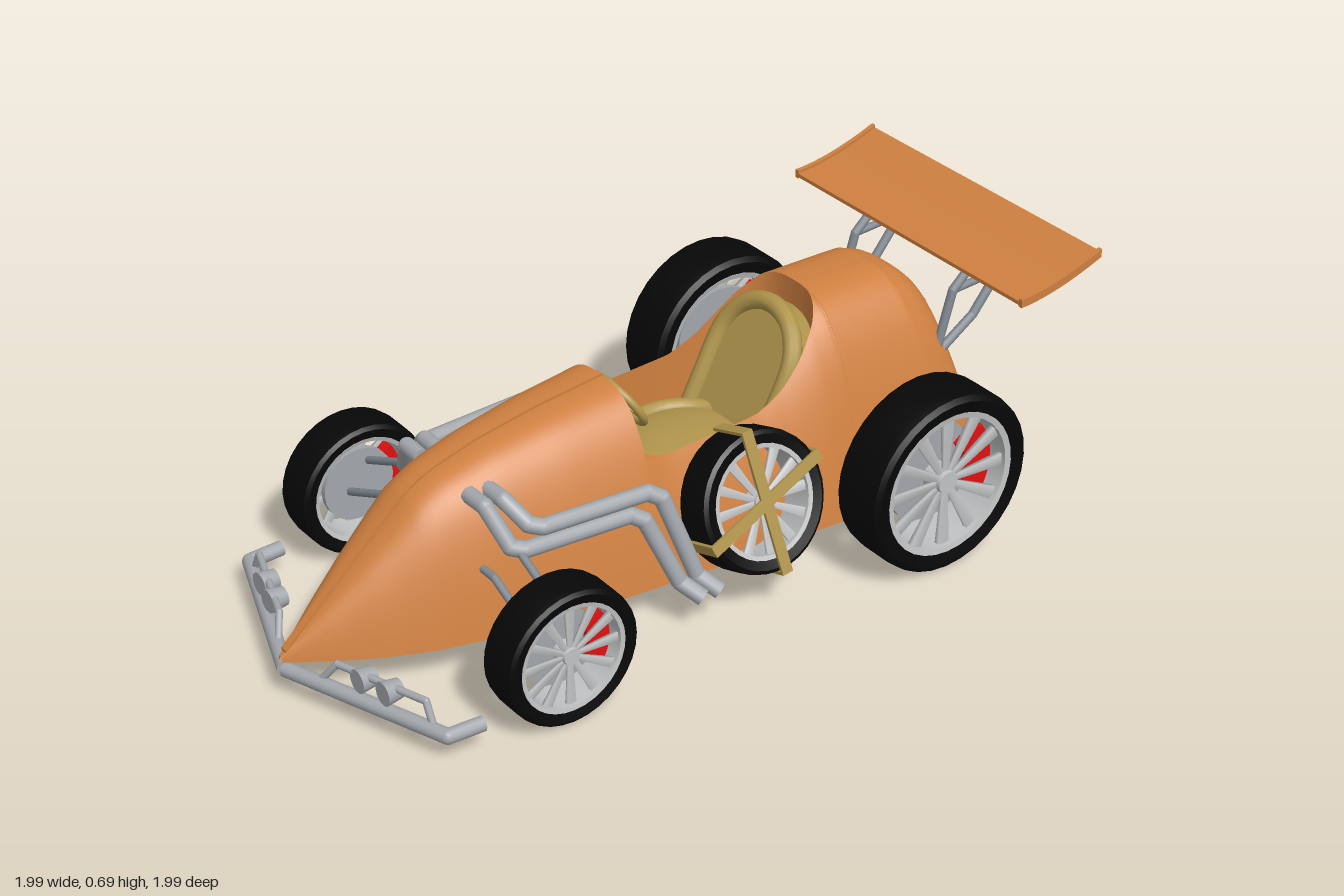
import * as THREE from 'three';
import { toCreasedNormals } from 'three/addons/utils/BufferGeometryUtils.js';

const paint = (name, color, side = THREE.FrontSide) => {
  const m = new THREE.MeshStandardMaterial({ color, side });
  m.name = name;
  return m;
};
const orange = paint('orange paint', 0xcf8040, THREE.DoubleSide);
const black = paint('tyre rubber', 0x070707);
const silver = paint('rim silver', 0xc2c3c4);
const steel = paint('pipe steel', 0xa3a7ac);
const grey = paint('strut grey', 0x808890);
const gold = paint('seat gold', 0xb0954c);
const red = paint('caliper red', 0xe01010);

const V = (x, y, z) => new THREE.Vector3(x, y, z);
function add(parent, name, geo, mat, pos = [0, 0, 0], rot = [0, 0, 0]) {
  const m = new THREE.Mesh(geo, mat);
  m.name = name;
  m.position.set(...pos);
  m.rotation.set(...rot);
  parent.add(m);
  return m;
}
function group(parent, name, pos = [0, 0, 0], rot = [0, 0, 0]) {
  const g = new THREE.Group();
  g.name = name;
  g.position.set(...pos);
  g.rotation.set(...rot);
  parent.add(g);
  return g;
}
// Round bar through points, with ball joints at the corners
function pipe(parent, name, pts, r, mat) {
  const g = group(parent, name);
  pts.forEach((p, i) => {
    if (i && i < pts.length - 1) add(g, name + 'Joint', new THREE.SphereGeometry(r, 12, 8), mat, p);
    if (!i) return;
    const a = V(...pts[i - 1]), b = V(...p);
    const c = add(g, name + 'Bar', new THREE.CylinderGeometry(r, r, a.distanceTo(b), 12), mat);
    c.position.copy(a).lerp(b, 0.5);
    c.quaternion.setFromUnitVectors(V(0, 1, 0), b.sub(a).normalize());
  });
}
const lookup = (table, z) => {
  const i = Math.max(1, table.findIndex(([k]) => k <= z + 1e-6));
  const [z0, a] = table[i - 1], [z1, b] = table[i];
  return a + (b - a) * THREE.MathUtils.clamp((z - z0) / (z1 - z0), 0, 1);
};

// Body rules: half width, crest height and cockpit opening along the length
const BASE = 0.09;
const WIDTH = [[1.11, 0.008], [1.0, 0.08], [0.9, 0.135], [0.8, 0.177], [0.65, 0.218], [0.4, 0.252],
  [0.1, 0.28], [-0.3, 0.3], [-0.68, 0.3], [-0.73, 0.295], [-0.765, 0.283], [-0.785, 0.265], [-0.795, 0.245]];
const CREST = [[1.11, 0.105], [0.76, 0.42], [0.7, 0.452], [0.57, 0.49], [0.4, 0.52], [0.21, 0.542], [0.18, 0.515],
  [0.14, 0.495], [-0.12, 0.495], [-0.2, 0.525], [-0.3, 0.588], [-0.36, 0.608], [-0.66, 0.606], [-0.74, 0.59],
  [-0.775, 0.57], [-0.795, 0.545]];
const opening = (z) => (z > -0.05 ? 0.18 : 0.18 * Math.cbrt(Math.max(0, 1 - ((-z - 0.05) / 0.32) ** 3)));
function bodyPoint(z, t) {
  const y = BASE + (lookup(CREST, z) - BASE) * (1 - t ** 3);
  const lean = THREE.MathUtils.smoothstep(-z, 0.48, 0.79) * 0.24 * (y - BASE);
  return V(lookup(WIDTH, z) * t, y, z + lean);
}
// Skin over one or more grids of points, smoothed across their shared edges
function gridGeometry(...grids) {
  const pos = [];
  for (const rows of grids)
    for (let i = 1; i < rows.length; i++) for (let j = 1; j < rows[i].length; j++) {
      const [a, b, c, d] = [rows[i - 1][j - 1], rows[i - 1][j], rows[i][j], rows[i][j - 1]];
      for (const p of [a, b, c, a, c, d]) pos.push(p.x, p.y, p.z);
    }
  const g = new THREE.BufferGeometry();
  g.setAttribute('position', new THREE.Float32BufferAttribute(pos, 3));
  return toCreasedNormals(g, 0.6);
}
const stations = (from, to, n) => Array.from({ length: n + 1 }, (_, i) => from + (to - from) * i / n);
const section = (z, cut) => stations(1, cut ? opening(z) / lookup(WIDTH, z) : 0, 20).map((t) => bodyPoint(z, t));
const mirrorRows = (rows) => rows.map((r) => r.map((p) => V(-p.x, p.y, p.z)).reverse());

function buildBody(car) {
  const g = group(car, 'body');
  const hood = stations(1.11, 0.21, 36).map((z) => section(z, false));
  const sides = stations(0, 1, 36).map((k) => section(0.21 - 0.58 * Math.sin(k * Math.PI / 2), true));
  const tail = stations(-0.37, -0.795, 34).map((z) => section(z, false));
  const walls = sides.map((r) => { const p = r[r.length - 1]; return [p, V(p.x, 0.12, p.z)]; });
  const both = (rows) => [rows, mirrorRows(rows)];
  add(g, 'bodyShell', gridGeometry(...both(hood), ...both(sides), ...both(tail)), orange);
  add(g, 'cockpitWall', gridGeometry(...both(walls)), orange);
  const end = tail[tail.length - 1];
  add(g, 'rearPanel', gridGeometry(end.map((p) => [p, V(-p.x, p.y, p.z)])), orange);
  add(g, 'cockpitFloor', new THREE.BoxGeometry(0.36, 0.012, 0.57), orange, [0, 0.12, -0.005]);
  add(g, 'footWall', new THREE.BoxGeometry(0.36, 0.2, 0.012), orange, [0, 0.22, 0.275]);
  add(g, 'dashboard', new THREE.CylinderGeometry(0.085, 0.085, 0.01, 28), black, [0, 0.435, 0.205], [Math.PI / 2, 0, 0]);
  // Raised centre rib on the hood
  const zs = stations(1.1, 0.21, 30), s = new THREE.Shape();
  zs.forEach((z, i) => s[i ? 'lineTo' : 'moveTo'](z, lookup(CREST, z) + 0.006));
  zs.reverse().forEach((z) => s.lineTo(z, lookup(CREST, z) - 0.001));
  const rib = new THREE.ExtrudeGeometry(s, { depth: 0.02, bevelEnabled: false }).rotateY(-Math.PI / 2);
  add(g, 'hoodRib', rib, orange, [0.01, 0, 0]);
  // Crossed oars on the rear panel
  const oar = new THREE.Shape([[-0.008, -0.2], [0.008, -0.2], [0.008, 0.05], [0.036, 0.11], [0.04, 0.16], [0.022, 0.2],
    [-0.022, 0.2], [-0.04, 0.16], [-0.036, 0.11], [-0.008, 0.05]].map((p) => new THREE.Vector2(...p)));
  const panel = group(g, 'oars', [0, BASE, -0.802], [Math.atan(0.24), 0, 0]);
  for (const k of [-1, 1]) {
    const o = group(panel, 'oar', [0, 0.24, k * 0.002], [0, 0, k * 0.44]);
    add(o, 'oarBlade', new THREE.ExtrudeGeometry(oar, { depth: 0.009, bevelEnabled: false }), orange);
    add(o, 'oarGrip', new THREE.BoxGeometry(0.038, 0.014, 0.009), orange, [0, -0.2, 0.0045]);
  }
}

// Wheel with its axle along x and its outer face towards +x
function buildWheel(parent, name, r, w, pos, rot, caliperSide) {
  const g = group(parent, name, pos, rot), rim = r * 0.79, h = w / 2;
  const profile = [[rim, -h * 0.9], [r * 0.93, -h], [r * 0.985, -h * 0.88], [r, -h * 0.6], [r, h * 0.6],
    [r * 0.985, h * 0.88], [r * 0.93, h], [rim, h * 0.9], [rim, -h * 0.9]].map((p) => new THREE.Vector2(...p));
  const spin = [0, 0, -Math.PI / 2];
  add(g, 'tyre', toCreasedNormals(new THREE.LatheGeometry(profile, 32), 0.6), black, [0, 0, 0], spin);
  const band = [[rim * 0.93, h * 0.88], [rim * 0.93, -h * 0.85], [rim * 1.01, -h * 0.92], [rim * 1.01, h * 0.92],
    [rim * 0.93, h * 0.88]].map((p) => new THREE.Vector2(...p));
  add(g, 'rim', toCreasedNormals(new THREE.LatheGeometry(band, 32), 0.6), silver, [0, 0, 0], spin);
  add(g, 'hub', new THREE.CylinderGeometry(r * 0.12, r * 0.15, h * 0.7, 16), silver, [h * 0.45, 0, 0], spin);
  for (let i = 0; i < 12; i++) {
    const spoke = new THREE.CylinderGeometry(r * 0.1, r * 0.045, rim * 0.9, 4, 1).rotateY(Math.PI / 4);
    spoke.scale(0.4, 1, 1).translate(h * 0.62, rim * 0.5, 0);
    add(g, 'spoke', spoke, silver, [0, 0, 0], [i * Math.PI / 6, 0, 0]);
  }
  if (!caliperSide) return g;
  add(g, 'brakeDisc', new THREE.CylinderGeometry(r * 0.55, r * 0.55, 0.015, 24), steel, [-h * 0.2, 0, 0], spin);
  const arc = new THREE.Shape();
  arc.absarc(0, 0, r * 0.69, -0.55, 0.65, false);
  arc.absarc(0, 0, r * 0.37, 0.65, -0.55, true);
  const cal = new THREE.ExtrudeGeometry(arc, { depth: h * 0.5, bevelEnabled: false, curveSegments: 8 });
  add(g, 'brakeCaliper', cal, red, [caliperSide > 0 ? -h * 0.2 : h * 0.3, 0, 0], [0, caliperSide * Math.PI / 2, 0]);
  return g;
}

function buildSeat(car) {
  const g = group(car, 'seat');
  add(g, 'seatCushion', new THREE.SphereGeometry(1, 32, 16).scale(0.172, 0.05, 0.19), gold, [0, 0.25, -0.04]);
  add(g, 'cushionPiping', new THREE.TorusGeometry(0.154, 0.022, 10, 36).rotateX(Math.PI / 2), gold, [0, 0.275, -0.04]);
  // Padded back, with a shell behind it that closes the cockpit
  const back = group(g, 'seatBack', [0, 0.26, -0.15], [-0.48, 0, 0]);
  const arch = new THREE.Shape();
  arch.moveTo(-0.14, 0).lineTo(0.14, 0).lineTo(0.14, 0.2);
  arch.absellipse(0, 0.2, 0.14, 0.14, 0, Math.PI, false);
  const pad = new THREE.ExtrudeGeometry(arch, { depth: 0.05, bevelSize: 0.01, bevelThickness: 0.01 });
  add(back, 'backPad', pad, gold, [0, 0, -0.06]);
  const rim = [V(0.138, 0, 0), V(0.138, 0.1, 0)];
  for (const a of stations(0, Math.PI, 10)) rim.push(V(0.138 * Math.cos(a), 0.2 + 0.14 * Math.sin(a), 0));
  rim.push(V(-0.138, 0.1, 0), V(-0.138, 0, 0));
  add(back, 'backPiping', new THREE.TubeGeometry(new THREE.CatmullRomCurve3(rim), 40, 0.024, 10), gold);
  add(g, 'seatShell', new THREE.BoxGeometry(0.33, 0.4, 0.012), orange, [0, 0.31, -0.33], [-0.2, 0, 0]);
  // Steering wheel
  const sw = group(car, 'steeringWheel', [0, 0.45, 0.15], [0.55, 0, 0]);
  add(sw, 'steeringRing', new THREE.TorusGeometry(0.076, 0.01, 10, 32), gold);
  add(sw, 'steeringHub', new THREE.SphereGeometry(0.016, 14, 10), red);
  for (let i = 0; i < 3; i++)
    add(sw, 'steeringSpoke', new THREE.BoxGeometry(0.012, 0.076, 0.008).translate(0, 0.038, 0), gold, [0, 0, 0], [0, 0, i * 2.094]);
  pipe(sw, 'steeringColumn', [[0, 0, 0], [0, 0, 0.14]], 0.01, grey);
}

function buildWing(car) {
  const g = group(car, 'rearWing'), s = new THREE.Shape(), e = new THREE.Shape();
  const curve = stations(0, 1, 12).map((k) => [-0.72 - 0.254 * k, 0.617 + 0.06 * k ** 1.7]);
  for (const [shape, up, down] of [[s, 0.006, 0.004], [e, 0.014, 0.008]]) {
    curve.forEach(([z, y], i) => shape[i ? 'lineTo' : 'moveTo'](z, y + up));
    [...curve].reverse().forEach(([z, y]) => shape.lineTo(z, y - down));
  }
  const slab = (shape, depth) => new THREE.ExtrudeGeometry(shape, { depth, bevelEnabled: false }).rotateY(-Math.PI / 2);
  add(g, 'wingBlade', slab(s, 0.87), orange, [0.435, 0, 0]);
  for (const x of [0.439, -0.427]) add(g, 'wingEndPlate', slab(e, 0.012), orange, [x, 0, 0]);
  for (const x of [-0.19, 0.19]) {
    pipe(g, 'wingStrut', [[x, 0.38, -0.67], [x, 0.55, -0.72], [x, 0.605, -0.78], [x, 0.655, -0.94],
      [x, 0.56, -0.87], [x, 0.46, -0.79], [x, 0.38, -0.67]], 0.012, grey);
    pipe(g, 'strutBrace', [[x, 0.55, -0.72], [x, 0.56, -0.87]], 0.01, grey);
  }
}

export function createModel() {
  const root = new THREE.Group();
  root.name = 'racingCar';
  const car = group(root, 'car', [0, 0, 0], [0, -Math.PI / 4, 0]);
  buildBody(car);
  buildSeat(car);
  buildWing(car);

  for (const k of [-1, 1]) {
    const turn = [0, k > 0 ? 0 : Math.PI, 0];
    buildWheel(car, 'frontWheel', 0.177, 0.115, [k * 0.443, 0.18, 0.635], turn, k);
    buildWheel(car, 'rearWheel', 0.24, 0.152, [k * 0.437, 0.241, -0.46], turn, k);
    // Axle and front suspension arms
    pipe(car, 'rearAxle', [[k * 0.2, 0.241, -0.46], [k * 0.43, 0.241, -0.46]], 0.03, steel);
    for (const [y, dz] of [[0.26, 0.028], [0.33, -0.028]])
      pipe(car, 'suspensionArm', [[k * 0.13, y, 0.635 + dz], [k * 0.22, y, 0.635 + dz], [k * 0.42, y - 0.09, 0.635 + dz]], 0.01, grey);
    // Twin exhaust pipes
    for (const [dz, dy] of [[0, 0], [-0.05, 0.043]])
      pipe(car, 'exhaustPipe', [[k * 0.1, 0.42, 0.65 + dz], [k * 0.165, 0.42, 0.648 + dz], [k * 0.225, 0.33 + dy, 0.62 + dz],
        [k * 0.24, 0.32 + dy, 0.59 + dz], [k * 0.26, 0.318 + dy, 0.31 + dz], [k * 0.275, 0.3 + dy, 0.28 + dz],
        [k * 0.325, 0.13, 0.215 + dz], [k * 0.37, 0.095, 0.18 + dz]], 0.021, steel);
    // Front bumper, upper rail and lamps
    pipe(car, 'bumper', [[0, 0.065, 1.1], [k * 0.44, 0.065, 0.94], [k * 0.445, 0.065, 0.85]], 0.019, steel);
    pipe(car, 'bumperRail', [[k * 0.4, 0.065, 0.95], [k * 0.37, 0.125, 0.95], [k * 0.13, 0.125, 1.035], [k * 0.09, 0.065, 1.065]], 0.009, steel);
    for (const x of [0.2, 0.275])
      add(car, 'lamp', new THREE.CylinderGeometry(0.03, 0.024, 0.045, 18), steel, [k * x, 0.112, 1.06 - x * 0.28], [Math.PI / 2, 0, 0]);
  }

  // Spare wheel strapped to the side
  const spare = buildWheel(car, 'spareWheel', 0.177, 0.11, [0.31, 0.267, -0.01], [0, 0, 0.33], 0);
  for (const a of [0.1, -1.2]) {
    const strap = group(spare, 'spareStrap', [0, 0, 0], [a, 0, 0]);
    add(strap, 'strapFace', new THREE.BoxGeometry(0.008, 0.37, 0.03), gold, [0.058, 0, 0]);
    for (const y of [-0.181, 0.181]) add(strap, 'strapEnd', new THREE.BoxGeometry(0.12, 0.008, 0.03), gold, [0.002, y, 0]);
  }
  return root;
}
